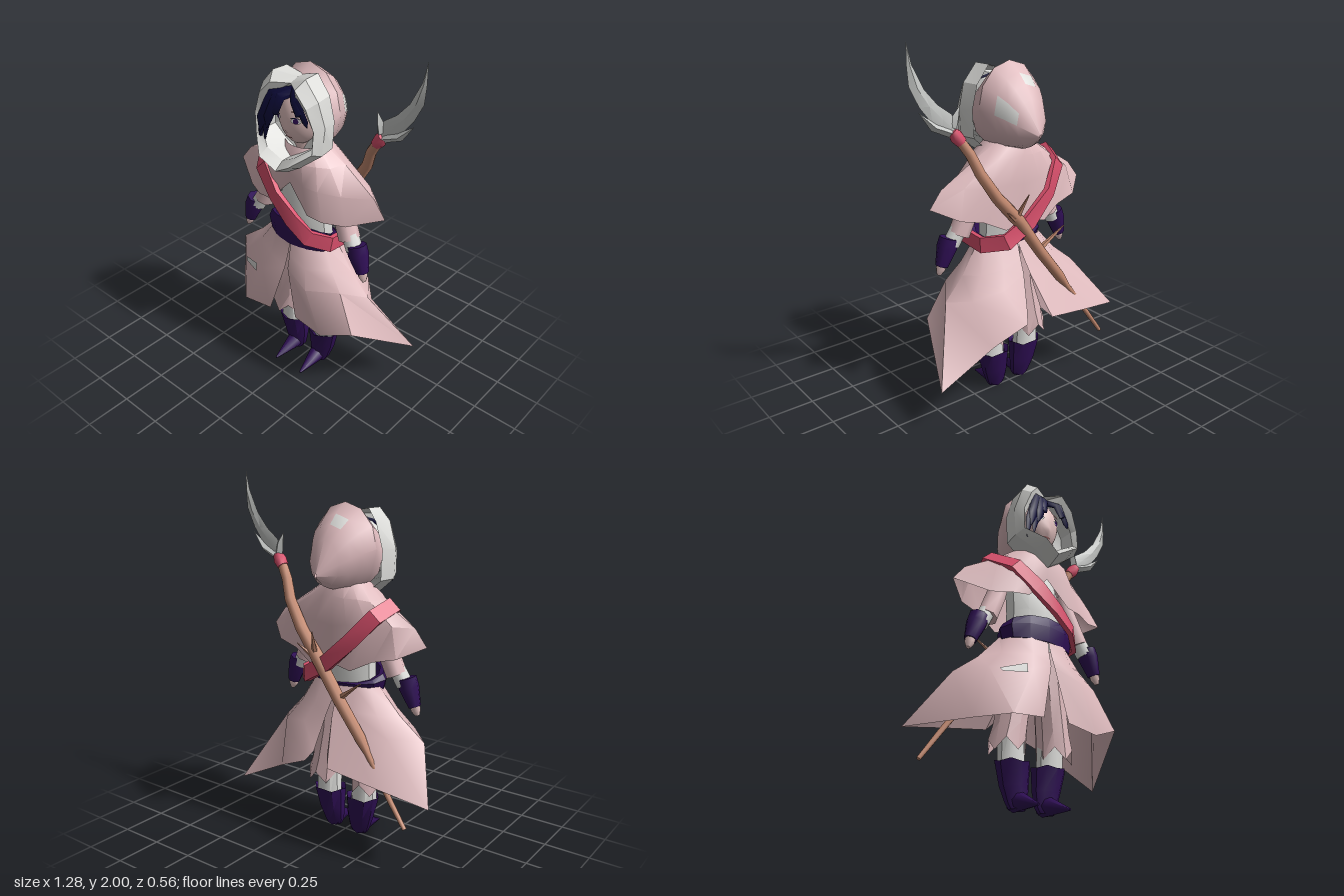
import * as THREE from 'three';
import { toCreasedNormals } from 'three/addons/utils/BufferGeometryUtils.js';

const paint = (name, color) => {
  const m = new THREE.MeshStandardMaterial({ color, side: THREE.DoubleSide });
  m.name = name;
  return m;
};

export function createModel() {
  const model = new THREE.Group();
  model.name = 'hoodedTraveller';
  const pink = paint('pink cloth', 0xdfbbbe), white = paint('white cloth', 0xdcdcd9);
  const purple = paint('purple leather', 0x2f0f55), red = paint('crimson sash', 0xd9506c);
  const wood = paint('wood', 0xc48a70), skin = paint('skin', 0xe8c6c4);
  const hair = paint('navy hair', 0x0d0b3c), steel = paint('steel', 0xc6c8c6);
  const brow = paint('brow and lips', 0xb87a78);

  const V = (x, y, z) => new THREE.Vector3(x, y, z);
  const add = (name, geo, mat) => {
    const mesh = new THREE.Mesh(geo, mat);
    mesh.name = name;
    model.add(mesh);
    return mesh;
  };

  // Surface through rows of points; cells listed in patches are white
  const sheet = (name, rows, mat, crease = 0.6, patches = []) => {
    const pos = [], geo = new THREE.BufferGeometry();
    for (let i = 0; i + 1 < rows.length; i++) for (let j = 0; j + 1 < rows[i].length; j++) {
      const a = rows[i][j], b = rows[i][j + 1], c = rows[i + 1][j + 1], d = rows[i + 1][j];
      const start = pos.length / 3;
      for (const t of [[a, d, b], [b, d, c]]) {
        const area = t[1].clone().sub(t[0]).cross(t[2].clone().sub(t[0])).length();
        if (area > 1e-8) t.forEach(p => pos.push(p.x, p.y, p.z));
      }
      if (patches.length) geo.addGroup(start, pos.length / 3 - start, patches.includes(`${i},${j}`) ? 1 : 0);
    }
    geo.setAttribute('position', new THREE.Float32BufferAttribute(pos, 3));
    return add(name, toCreasedNormals(geo, crease), patches.length ? [mat, white] : mat);
  };

  // Horizontal ellipse, starting at the front and going towards +x
  const ring = (cx, y, cz, rx, rz, n = 10, wave = 0) => Array.from({ length: n + 1 }, (_, j) => {
    const a = (j % n) / n * Math.PI * 2;
    return V(cx + rx * Math.sin(a), y + (j % 2 ? wave : -wave), cz + rz * Math.cos(a));
  });

  // Capped tube with a radius for each point
  const tube = (name, pts, radii, mat, sides = 7, flat = 1) => {
    const p = pts.map(q => V(...q));
    const rows = p.map((c, i) => {
      const t = p[Math.min(i + 1, p.length - 1)].clone().sub(p[Math.max(i - 1, 0)]).normalize();
      const u = V(0, 0, 1).cross(t);
      if (u.length() < 0.15) u.set(1, 0, 0);
      u.normalize();
      const v = u.clone().cross(t);
      return Array.from({ length: sides + 1 }, (_, j) => {
        const a = (j % sides) / sides * Math.PI * 2;
        return c.clone().addScaledVector(u, radii[i] * Math.cos(a)).addScaledVector(v, radii[i] * flat * Math.sin(a));
      });
    });
    const cap = c => Array(sides + 1).fill(c);
    return sheet(name, [cap(p[0]), ...rows, cap(p[p.length - 1])], mat, 0.95);
  };

  // Head with a narrowed chin and a slight nose
  const headGeo = new THREE.SphereGeometry(1, 32, 24);
  const hp = headGeo.attributes.position;
  for (let i = 0; i < hp.count; i++) {
    const x = hp.getX(i), y = hp.getY(i), z = hp.getZ(i), k = y < 0 ? 1 + 0.22 * y : 1;
    const nose = z > 0 ? 0.01 * Math.exp(-(x * x) / 0.02 - (y + 0.35) ** 2 / 0.02) : 0;
    hp.setXYZ(i, x * 0.122 * k, 1.6 + y * 0.16, 0.07 + z * 0.11 + nose);
  }
  headGeo.computeVertexNormals();
  add('head', headGeo, skin);
  tube('neck', [[0, 1.3, 0.02], [0, 1.5, 0.04]], [0.06, 0.06], skin);
  for (const s of [-1, 1]) {
    const disc = (name, mat, y, z, w, h) => {
      const m = add(name, new THREE.CircleGeometry(1, 14), mat);
      m.position.set(s * 0.058, y, z);
      m.rotation.y = s * 0.45;
      m.scale.set(w, h, 1);
    };
    disc('eyeWhite', white, 1.608, 0.172, 0.028, 0.015);
    disc('iris', purple, 1.608, 0.175, 0.014, 0.015);
    disc('eyelid', hair, 1.624, 0.175, 0.028, 0.003);
    disc('eyebrow', brow, 1.655, 0.169, 0.028, 0.005);
  }
  const mouth = add('mouth', new THREE.CircleGeometry(1, 12), brow);
  mouth.position.set(0, 1.503, 0.161);
  mouth.rotation.x = 0.5;
  mouth.scale.set(0.024, 0.006, 1);

  // Hair: a cap and swept locks
  const cap = add('hairCap', new THREE.SphereGeometry(1, 16, 8, 0, Math.PI * 2, 0, 1.25), hair);
  cap.position.set(0, 1.61, 0.045);
  cap.scale.set(0.13, 0.16, 0.11);
  for (const [x, y, z, r] of [[-0.165, 1.43, 0.2, 0.028], [-0.15, 1.5, 0.215, 0.034], [-0.125, 1.46, 0.205, 0.03],
    [-0.1, 1.54, 0.215, 0.034], [-0.06, 1.62, 0.205, 0.03], [0.135, 1.6, 0.18, 0.024], [0.1, 1.655, 0.19, 0.028]]) {
    tube('hairLock', [[0.01, 1.745, 0.14], [x * 0.55, 1.72, 0.185], [x * 0.92, y * 0.5 + 0.825, z], [x, y, z]],
      [0.025, r, r * 0.85, 0.003], hair, 6, 0.4);
  }

  // Hood, lofted from the face opening to the pointed back
  const hood = [[0.07, 1.59, 0.19, 0.2], [0, 1.62, 0.195, 0.23], [-0.08, 1.6, 0.16, 0.195], [-0.13, 1.58, 0.13, 0.165],
    [-0.18, 1.555, 0.095, 0.12], [-0.25, 1.5, 0.004, 0.01]];
  sheet('hood', hood.map(([z, cy, rx, ry]) => Array.from({ length: 13 }, (_, j) => {
    const a = (j % 12) / 12 * Math.PI * 2;
    return V(-rx * Math.sin(a), cy + ry * Math.cos(a), z);
  })), pink, 0.6, ['2,0', '2,9', '3,9']);

  // Hood trim with a narrow lining: outer x, y, front depth, then inner x, y
  const trim = [[0, 1.8, 0.13, 0, 1.765], [0.1, 1.83, 0.19, 0.06, 1.74], [0.18, 1.735, 0.19, 0.12, 1.68],
    [0.215, 1.61, 0.18, 0.165, 1.59], [0.205, 1.46, 0.19, 0.17, 1.5], [0.1, 1.375, 0.235, 0.09, 1.44],
    [0, 1.31, 0.22, 0, 1.39], [-0.1, 1.375, 0.235, -0.09, 1.44], [-0.205, 1.45, 0.19, -0.165, 1.5],
    [-0.215, 1.61, 0.19, -0.16, 1.59], [-0.17, 1.75, 0.2, -0.12, 1.68], [-0.12, 1.82, 0.18, -0.06, 1.74]];
  trim.push(trim[0]);
  sheet('hoodTrim', [
    trim.map(([x, y]) => V(x * 0.92, y, 0.05)),
    trim.map(([x, y, z]) => V(x, y, z - 0.04)),
    trim.map(([x, y, z, u, v]) => V((x + u) / 2, (y + v) / 2, z + (y < 1.4 ? 0.045 : 0.015))),
    trim.map(([, , z, u, v]) => V(u, v, z - 0.01)),
    trim.map(([, , , u, v]) => V(u, v, 0.085)),
    trim.map(([, , , u, v]) => V(u * 0.72, 1.6 + (v - 1.6) * 0.75, 0.065)),
  ], white, 0.35);

  // Torso and shoulder cape
  sheet('torso', [ring(0, 0.85, 0.03, 0.17, 0.1), ring(0, 1.05, 0.035, 0.16, 0.115),
    ring(0, 1.22, 0.02, 0.16, 0.11), ring(0, 1.38, 0.01, 0.08, 0.07)], white);
  const mirrorLoop = half => [...half, ...half.slice(0, -1).reverse().map(([x, y, z]) => [-x, y, z])].map(p => V(...p));
  sheet('shoulderCape', [
    ring(0, 1.44, 0.02, 0.12, 0.11, 16),
    mirrorLoop([[0, 1.37, 0.16], [0.08, 1.37, 0.16], [0.15, 1.37, 0.13], [0.2, 1.36, 0.08], [0.23, 1.365, 0],
      [0.2, 1.36, -0.06], [0.14, 1.37, -0.09], [0.07, 1.37, -0.11], [0, 1.38, -0.12]]),
    mirrorLoop([[0, 1.31, 0.165], [0.1, 1.26, 0.175], [0.18, 1.25, 0.155], [0.29, 1.24, 0.1], [0.43, 1.24, 0.01],
      [0.34, 1.25, -0.07], [0.22, 1.23, -0.1], [0.1, 1.24, -0.13], [0, 1.22, -0.12]]),
    mirrorLoop([[0, 1.24, 0.16], [0.13, 1.1, 0.175], [0.22, 1.09, 0.165], [0.33, 1.085, 0.11], [0.5, 1.15, 0.01],
      [0.38, 1.09, -0.09], [0.25, 1.06, -0.11], [0.13, 1, -0.14], [0, 1.02, -0.125]]),
  ], pink);

  // Belt, deeper at the front
  const beltRing = (y, lift, s) => ring(0, y, 0.05, 0.23 * s, 0.13 * s, 12).map(p => (p.y += lift * (p.z - 0.05) / 0.13, p));
  sheet('belt', [beltRing(0.95, 0.065, 0.8), beltRing(0.955, 0.055, 0.92), beltRing(0.925, 0.025, 1),
    beltRing(0.87, -0.005, 0.93), beltRing(0.87, -0.005, 0.8)], purple, 0.4);

  // Sash: a box section swept round the body from shoulder to hip
  const path = [[-0.29, 1.34, 0.02], [-0.2, 1.26, 0.155], [-0.08, 1.15, 0.19], [0.04, 1.05, 0.195], [0.14, 0.97, 0.18],
    [0.225, 0.93, 0.1], [0.23, 0.92, -0.06], [0.14, 0.945, -0.16], [0, 1.03, -0.17], [-0.14, 1.16, -0.16],
    [-0.25, 1.29, -0.1]].map(p => V(...p));
  const sash = path.map((c, i) => {
    const n = path.length, t = path[(i + 1) % n].clone().sub(path[(i + n - 1) % n]).normalize();
    const out = V(c.x + 0.03, Math.max(0, (c.y - 1.13) * 1.3), c.z - 0.01).normalize();
    const w = t.clone().cross(out).normalize().multiplyScalar(0.042);
    out.multiplyScalar(0.014);
    return [[1, 1], [-1, 1], [-1, -1], [1, -1], [1, 1]].map(([a, b]) => c.clone().addScaledVector(w, a).addScaledVector(out, b));
  });
  sheet('sash', [...sash, sash[0]], red, 0.5);

  // Arms and legs
  for (const s of [-1, 1]) {
    tube('sleeve', [[s * 0.2, 1.24, 0.02], [s * 0.25, 1.1, 0.03], [s * 0.305, 0.97, 0.04]], [0.05, 0.057, 0.058], pink, 8);
    tube('undersleeve', [[s * 0.25, 1.1, 0.03], [s * 0.35, 0.92, 0.05]], [0.042, 0.046], white, 8);
    tube('gauntlet', [[s * 0.36, 0.96, 0.05], [s * 0.375, 0.91, 0.052], [s * 0.41, 0.81, 0.055]], [0.052, 0.055, 0.034], purple, 8);
    tube('hand', [[s * 0.405, 0.83, 0.055], [s * 0.415, 0.79, 0.058], [s * 0.425, 0.762, 0.06]], [0.028, 0.026, 0.012], skin, 7);

    sheet('trouserLeg', [ring(s * 0.09, 0.85, 0.03, 0.08, 0.08), ring(s * 0.11, 0.6, 0.03, 0.085, 0.085),
      ring(s * 0.135, 0.42, 0.02, 0.09, 0.09), ring(s * 0.15, 0.31, 0.015, 0.098, 0.095, 10, 0.03)], pink);
    sheet('legWrap', [ring(s * 0.125, 0.42, 0.015, 0.07, 0.065), ring(s * 0.12, 0.2, 0.01, 0.075, 0.065)], white);
    sheet('boot', [ring(s * 0.11, 0.22, 0.01, 0.07, 0.06), ring(s * 0.112, 0.24, 0.01, 0.095, 0.083, 10, 0.006),
      ring(s * 0.1, 0.12, 0.008, 0.08, 0.06), ring(s * 0.09, 0.04, 0.015, 0.062, 0.042),
      ring(s * 0.09, 0.01, 0.02, 0.045, 0.035), ring(s * 0.09, 0.008, 0.02, 0, 0)], purple);
    tube('toe', [[s * 0.09, 0.056, 0], [s * 0.09, 0.045, 0.06], [s * 0.095, 0.008, 0.2]], [0.055, 0.044, 0.006], purple, 8);
  }

  // Skirt panels, open at front and back; each column is waist, hip, hem, drawn in above the hip
  const skirt = (name, cols) => sheet(name, cols.map(c => {
    const [waist, hip, hem] = c.map(p => V(...p));
    return [waist, waist.clone().lerp(hip, 0.55).multiply(V(0.94, 1, 0.98)), hip, hem];
  }), pink, 0.8);
  skirt('rightSkirt', [
    [[0, 0.89, 0.16], [-0.01, 0.72, 0.2], [-0.09, 0.42, 0.24]],
    [[-0.1, 0.89, 0.15], [-0.15, 0.66, 0.235], [-0.28, 0.4, 0.25]],
    [[-0.18, 0.89, 0.09], [-0.36, 0.65, 0.15], [-0.42, 0.385, 0.12]],
    [[-0.21, 0.89, 0.02], [-0.49, 0.63, 0.03], [-0.64, 0.37, -0.17]],
    [[-0.18, 0.89, -0.03], [-0.35, 0.66, -0.11], [-0.34, 0.44, -0.24]],
    [[-0.1, 0.89, -0.06], [-0.16, 0.67, -0.16], [-0.08, 0.49, -0.275]],
    [[0, 0.89, -0.07], [-0.02, 0.73, -0.15], [-0.04, 0.54, -0.22]],
  ]);
  skirt('leftSkirt', [
    [[0, 0.89, 0.16], [0.01, 0.72, 0.2], [0.08, 0.43, 0.22]],
    [[0.1, 0.89, 0.15], [0.16, 0.66, 0.225], [0.26, 0.4, 0.22]],
    [[0.18, 0.89, 0.09], [0.33, 0.68, 0.14], [0.44, 0.47, 0.17]],
    [[0.21, 0.89, 0.02], [0.42, 0.62, 0.01], [0.6, 0.24, -0.2]],
    [[0.18, 0.89, -0.03], [0.33, 0.64, -0.11], [0.28, 0.4, -0.22]],
    [[0.1, 0.89, -0.06], [0.16, 0.67, -0.16], [0.08, 0.49, -0.26]],
    [[0, 0.89, -0.07], [0.02, 0.73, -0.15], [0.05, 0.54, -0.22]],
  ].reverse());
  sheet('skirtPatch', [[V(-0.32, 0.64, 0.188), V(-0.19, 0.68, 0.236)], [V(-0.31, 0.622, 0.198), V(-0.19, 0.63, 0.243)]], white);

  // Spear: gnarled shaft with twigs, collar and ridged blade
  tube('spearShaft', [[-0.52, 0.24, -0.2], [-0.42, 0.38, -0.195], [-0.27, 0.59, -0.175], [-0.22, 0.66, -0.17], [-0.08, 0.84, -0.165],
    [0.06, 1.04, -0.16], [0.19, 1.19, -0.14], [0.28, 1.33, -0.12], [0.32, 1.43, -0.095], [0.385, 1.53, -0.07]],
  [0.012, 0.015, 0.018, 0.03, 0.033, 0.036, 0.033, 0.03, 0.028, 0.026], wood, 8);
  for (const [a, b] of [[[0.06, 1.03, -0.16], [0.17, 1.12, -0.2]], [[0.08, 1.06, -0.16], [0.05, 1.2, -0.225]],
    [[-0.08, 0.85, -0.16], [-0.23, 0.96, -0.185]]]) tube('twig', [a, b], [0.018, 0.003], wood, 5);
  tube('spearCollar', [[0.36, 1.495, -0.08], [0.385, 1.525, -0.073], [0.405, 1.555, -0.068]], [0.03, 0.036, 0.026], red, 8);
  const blade = (name, secs, thick) => sheet(name, secs.map(([lx, ly, rx, ry], i) => {
    const z = x => -0.07 + (x - 0.38) * 0.06, t = i === secs.length - 1 ? 0 : thick;
    const mx = (lx + rx) / 2, my = (ly + ry) / 2, l = V(lx, ly, z(lx));
    return [l, V(mx, my, z(mx) - t), V(rx, ry, z(rx)), V(mx, my, z(mx) + t), l];
  }), steel, 0.5);
  blade('spearBlade', [[0.37, 1.54, 0.42, 1.52], [0.375, 1.6, 0.46, 1.56], [0.41, 1.64, 0.51, 1.6], [0.48, 1.69, 0.58, 1.69],
    [0.55, 1.77, 0.63, 1.79], [0.61, 1.89, 0.637, 1.88], [0.635, 2, 0.635, 2]], 0.01);
  blade('spearBarb', [[0.37, 1.55, 0.42, 1.58], [0.365, 1.61, 0.4, 1.63], [0.36, 1.675, 0.36, 1.675]], 0.022);
  blade('spearBarb', [[0.41, 1.57, 0.41, 1.52], [0.49, 1.6, 0.52, 1.57], [0.585, 1.665, 0.585, 1.665]], 0.022);

  return model;
}
